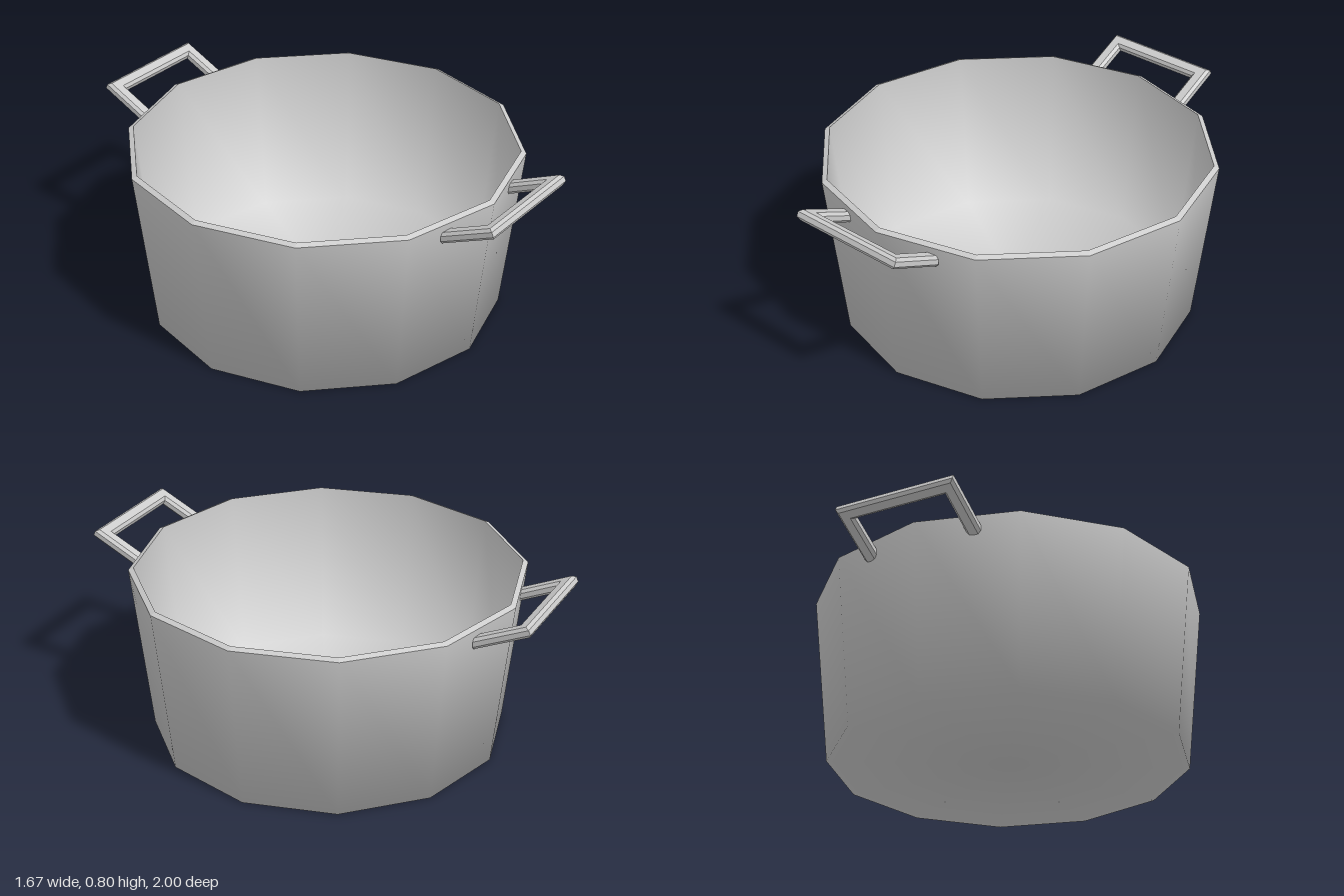
import * as THREE from 'three';

const SIDES = 12;
const TILT = THREE.MathUtils.degToRad(25);
const material = new THREE.MeshStandardMaterial({ color: 0xcccccc });
const flatMaterial = new THREE.MeshStandardMaterial({ color: 0xcccccc, flatShading: true });

// Twelve-sided turned surface from [radius, height] pairs
function turned(name, profile, mat) {
  const points = profile.map(([r, y]) => new THREE.Vector2(r, y));
  const mesh = new THREE.Mesh(new THREE.LatheGeometry(points, SIDES), mat);
  mesh.name = name;
  return mesh;
}

// Chamfered U-shaped bar, tilted upward, with leg ends cut vertical at the wall
function handleGeometry() {
  const half = 0.264, bar = 0.06, length = 0.2545, thick = 0.045, chamfer = 0.012;
  const inner = half - bar;
  const shape = new THREE.Shape([
    [-half, 0], [-inner, 0], [-inner, length - bar], [inner, length - bar],
    [inner, 0], [half, 0], [half, length], [-half, length],
  ].map(([x, y]) => new THREE.Vector2(x, y)));
  const geometry = new THREE.ExtrudeGeometry(shape, {
    depth: thick - 2 * chamfer,
    bevelThickness: chamfer,
    bevelSize: chamfer,
    bevelOffset: -chamfer,
    bevelSegments: 1,
  });
  geometry.translate(0, 0, chamfer - thick / 2);
  const pos = geometry.attributes.position;
  for (let i = 0; i < pos.count; i++) {
    if (pos.getY(i) < 0.03) pos.setY(i, -pos.getZ(i) * Math.tan(TILT));
  }
  geometry.rotateX(Math.PI / 2 - TILT);
  geometry.translate(0, 0.675, 0.765);
  geometry.computeVertexNormals();
  return geometry;
}

export function createModel() {
  const model = new THREE.Group();
  model.name = 'cookingPot';

  // Body: outside with base, rim band, inside with floor
  const body = new THREE.Group();
  body.name = 'body';
  body.add(
    turned('outerWall', [[0, 0], [0.76, 0], [0.837, 0.733]], material),
    turned('rim', [[0.837, 0.733], [0.815, 0.743]], flatMaterial),
    turned('innerWall', [[0.815, 0.743], [0.742, 0.02], [0, 0.02]], material),
  );
  model.add(body);

  // Matching handles at front and back
  const geometry = handleGeometry();
  ['frontHandle', 'backHandle'].forEach((name, i) => {
    const handle = new THREE.Mesh(geometry, flatMaterial);
    handle.name = name;
    handle.rotation.y = i * Math.PI;
    model.add(handle);
  });

  return model;
}
